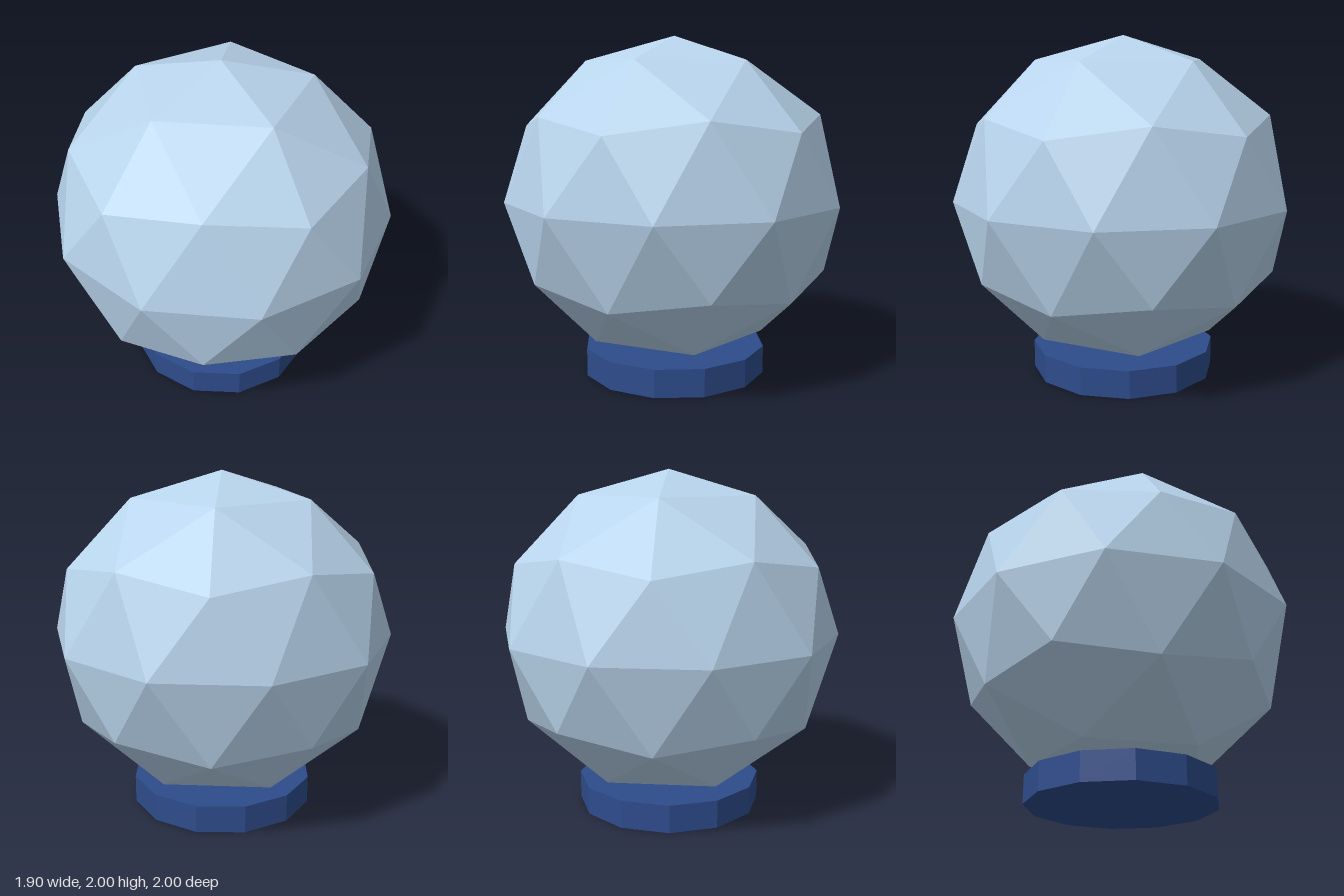
import * as THREE from 'three';

export function createModel() {
  const model = new THREE.Group();

  // Faceted globe: subdivided icosahedron, tipped so one vertex is the pole, slightly flattened
  const goldenRatio = (1 + Math.sqrt(5)) / 2;
  const globeGeometry = new THREE.IcosahedronGeometry(1, 1);
  globeGeometry.rotateZ(-Math.atan(1 / goldenRatio));
  globeGeometry.scale(1, 0.95, 1);
  const globe = new THREE.Mesh(
    globeGeometry,
    new THREE.MeshStandardMaterial({ color: 0xb8d4ec, flatShading: true })
  );
  globe.name = 'globe';
  globe.position.y = 1.05;
  model.add(globe);

  // Twelve-sided base disc
  const baseHeight = 0.164;
  const base = new THREE.Mesh(
    new THREE.CylinderGeometry(0.545, 0.545, baseHeight, 12),
    new THREE.MeshStandardMaterial({ color: 0x2e4c8c, flatShading: true })
  );
  base.name = 'base';
  base.position.y = baseHeight / 2;
  model.add(base);

  return model;
}
